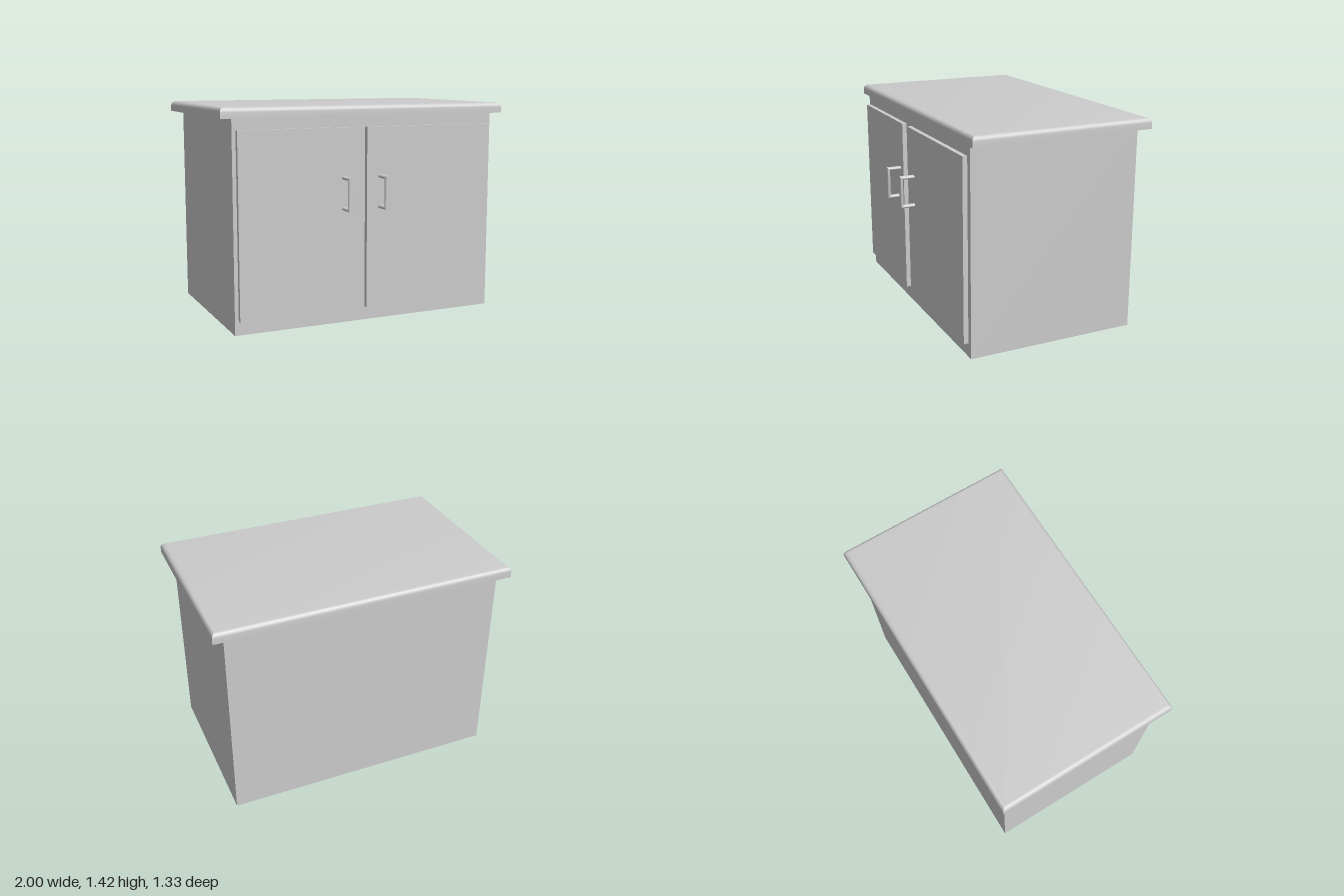
import * as THREE from 'three';
import { toCreasedNormals } from 'three/addons/utils/BufferGeometryUtils.js';

const material = new THREE.MeshStandardMaterial({ color: 0xcccccc });

// Skin a list of equal-length convex rings and cap both ends
function loft(rings) {
  const pos = [];
  const tri = (a, b, c) => pos.push(...a, ...b, ...c);
  const n = rings[0].length;
  for (let i = 0; i < rings.length - 1; i++) {
    for (let j = 0; j < n; j++) {
      const k = (j + 1) % n;
      tri(rings[i][j], rings[i][k], rings[i + 1][k]);
      tri(rings[i][j], rings[i + 1][k], rings[i + 1][j]);
    }
  }
  const first = rings[0], last = rings[rings.length - 1];
  for (let j = 1; j < n - 1; j++) {
    tri(first[0], first[j + 1], first[j]);
    tri(last[0], last[j], last[j + 1]);
  }
  const geometry = new THREE.BufferGeometry();
  geometry.setAttribute('position', new THREE.Float32BufferAttribute(pos, 3));
  return toCreasedNormals(geometry, 0.7);
}

function part(name, geometry) {
  const mesh = new THREE.Mesh(geometry, material);
  mesh.name = name;
  return mesh;
}

// Box given by its limits on each axis
function box(name, x0, x1, y0, y1, z0, z1) {
  const mesh = part(name, new THREE.BoxGeometry(x1 - x0, y1 - y0, z1 - z0));
  mesh.position.set((x0 + x1) / 2, (y0 + y1) / 2, (z0 + z1) / 2);
  return mesh;
}

// Slab with mitred corners and a rounded upper edge
function countertopGeometry() {
  const ring = (inset, y) => {
    const x = 1 - inset, front = 0.555 - inset, back = -0.665 + inset;
    return [[x, y, front], [x, y, back], [-x, y, back], [-x, y, front]];
  };
  const r = 0.032, steps = 6;
  const rings = [ring(0, 1.35)];
  for (let i = 0; i <= steps; i++) {
    const a = (i / steps) * Math.PI / 2;
    rings.push(ring(r * (1 - Math.cos(a)), 1.42 - r + r * Math.sin(a)));
  }
  return loft(rings);
}

// Oval bar swept round a square bracket with mitred corners
function handleGeometry() {
  // path y, path z, then outward direction in y and z
  const path = [
    [0.759, 0.56, -1, 0],
    [0.759, 0.655, -1, 1],
    [0.958, 0.655, 1, 1],
    [0.958, 0.56, 1, 0],
  ];
  const sides = 12;
  return loft(path.map(([y, z, ny, nz]) =>
    Array.from({ length: sides }, (_, i) => {
      const a = (i / sides) * Math.PI * 2;
      const out = 0.012 * Math.sin(a);
      return [-0.019 * Math.cos(a), y + ny * out, z + nz * out];
    })));
}

export function createModel() {
  const model = new THREE.Group();
  model.name = 'cabinet';

  model.add(box('cabinetBody', -0.925, 0.922, 0, 1.35, -0.615, 0.535));
  model.add(part('countertop', countertopGeometry()));

  // Doors differ slightly in width
  model.add(box('rightDoor', -0.9, -0.125, 0.09, 1.28, 0.53, 0.566));
  model.add(box('leftDoor', -0.03, 0.882, 0.09, 1.28, 0.53, 0.566));

  // Handles near the inner door edges
  const handle = handleGeometry();
  for (const [name, x] of [['rightHandle', -0.19], ['leftHandle', 0.07]]) {
    const mesh = part(name, handle);
    mesh.position.x = x;
    model.add(mesh);
  }
  return model;
}
